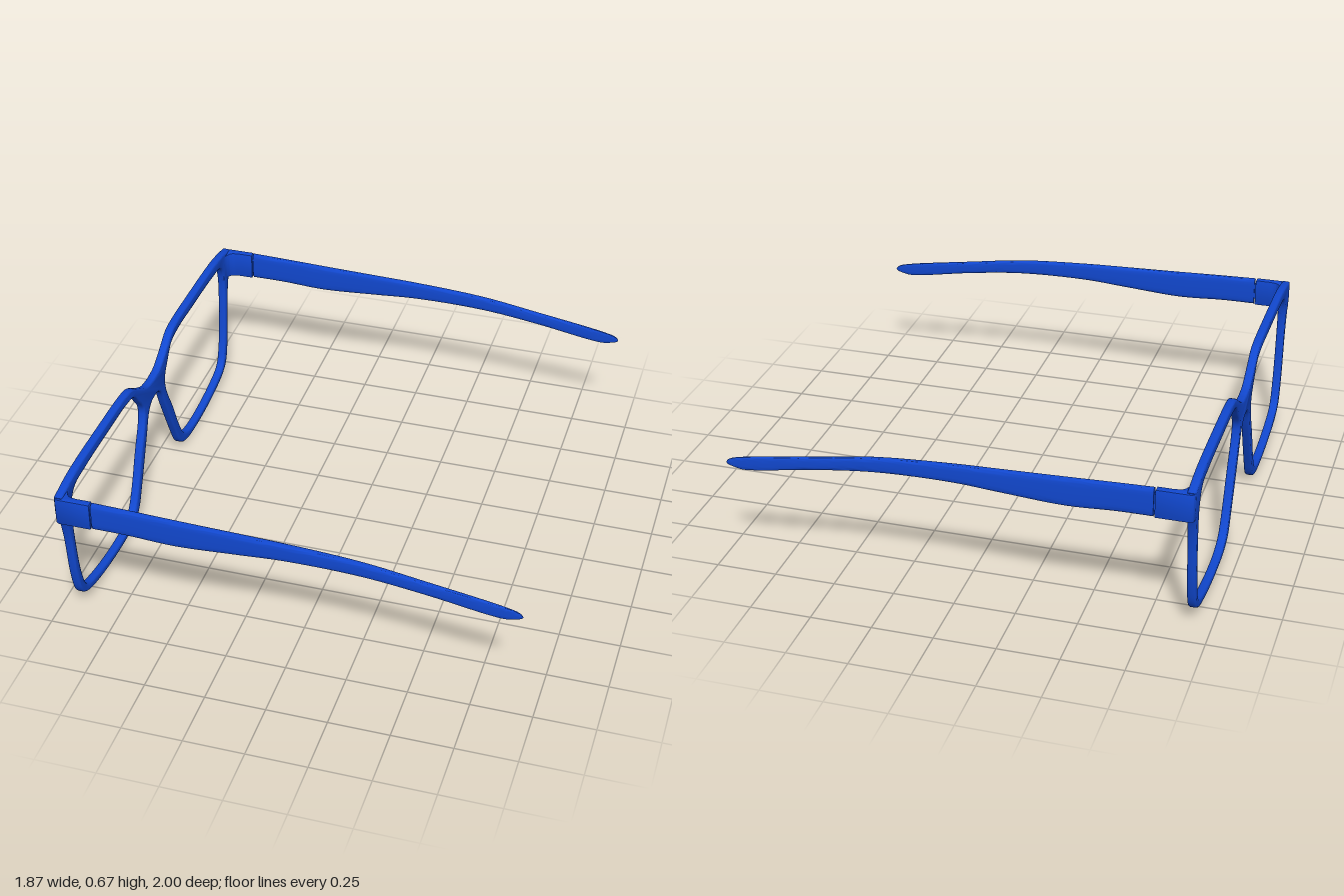
import * as THREE from 'three';
import { toCreasedNormals } from 'three/addons/utils/BufferGeometryUtils.js';

const material = new THREE.MeshStandardMaterial({ color: 0x1148d0, roughness: 0.5 });

const vectors = (pts) => pts.map(([x, y]) => new THREE.Vector2(x, y));
const smooth = (pts, n, closed = false) =>
  new THREE.CatmullRomCurve3(pts.map(([x, y]) => new THREE.Vector3(x, y, 0)), closed, 'centripetal')
    .getPoints(n).map((p) => [p.x, p.y]);
const mirror = (pts) => pts.map(([x, y]) => [-x, y]).reverse();

function addMesh(parent, geometry, name) {
  const mesh = new THREE.Mesh(geometry, material);
  mesh.name = name;
  parent.add(mesh);
  return mesh;
}

// Front frame: half outlines as [side, height], mirrored across the nose
function frameGeometry() {
  const brow = smooth([[0, 0.56], [0.075, 0.57], [0.155, 0.612], [0.235, 0.66], [0.315, 0.672],
    [0.5, 0.675], [0.8, 0.672], [0.9, 0.662], [0.99, 0.645]], 48);
  const lower = smooth([[0.99, 0.56], [0.965, 0.51], [0.942, 0.417], [0.917, 0.2], [0.885, 0.095], [0.835, 0.055],
    [0.73, 0.027], [0.51, 0.005], [0.33, 0.015], [0.26, 0.05], [0.21, 0.14], [0.115, 0.35],
    [0.075, 0.44], [0.04, 0.469], [0, 0.475]], 80);
  const half = [...brow, ...lower];
  const lens = smooth([[0.902, 0.55], [0.865, 0.61], [0.75, 0.626], [0.51, 0.63], [0.3, 0.628], [0.22, 0.61],
    [0.165, 0.55], [0.126, 0.49], [0.13, 0.43], [0.19, 0.3], [0.26, 0.14], [0.31, 0.068], [0.38, 0.042],
    [0.51, 0.035], [0.73, 0.06], [0.835, 0.095], [0.872, 0.175], [0.9, 0.36]], 110, true).slice(0, -1);

  const shape = new THREE.Shape(vectors([...half, ...mirror(half).slice(1, -1)]));
  shape.holes.push(new THREE.Path(vectors(lens)), new THREE.Path(vectors(mirror(lens))));
  const geometry = new THREE.ExtrudeGeometry(shape, {
    depth: 0.019, bevelThickness: 0.008, bevelSize: 0.008, bevelOffset: -0.008, bevelSegments: 3,
  });
  geometry.rotateY(-Math.PI / 2).translate(-0.91, 0, 0);
  return toCreasedNormals(geometry, 0.7);
}

// Corner piece: plan outline as [x, distance from centre], with a filleted inner corner
function endPieceGeometry(side) {
  const outline = [
    ...smooth([[-0.936, 0.93], [-0.936, 0.975], [-0.932, 0.992], [-0.92, 0.998]], 10),
    [-0.787, 0.998], [-0.787, 0.967],
    ...smooth([[-0.85, 0.967], [-0.882, 0.96], [-0.897, 0.94], [-0.904, 0.905]], 14),
    [-0.92, 0.905],
  ];
  const shape = new THREE.Shape(vectors(outline.map(([x, w]) => [x, -side * w])));
  const geometry = new THREE.ExtrudeGeometry(shape, {
    depth: 0.108, bevelThickness: 0.006, bevelSize: 0.005, bevelOffset: -0.005, bevelSegments: 2,
  });
  geometry.rotateX(-Math.PI / 2).translate(0, 0.528, 0);
  return toCreasedNormals(geometry, 0.7);
}

// Temple arm: rounded sections lofted along x. Stations are [x, top, bottom, half thickness]
function templeGeometry(side) {
  const stations = [
    [-0.781, 0.643, 0.524, 0.0145], [-0.64, 0.639, 0.523, 0.0145], [-0.44, 0.632, 0.514, 0.0145],
    [-0.19, 0.624, 0.529, 0.0145], [0.01, 0.617, 0.542, 0.0145], [0.31, 0.597, 0.536, 0.0135],
    [0.56, 0.56, 0.506, 0.012], [0.81, 0.522, 0.463, 0.008], [0.87, 0.511, 0.458, 0.006],
    [0.91, 0.501, 0.466, 0.0045], [0.928, 0.491, 0.472, 0.003], [0.935, 0.48, 0.478, 0.001],
  ];
  const edges = new THREE.CatmullRomCurve3(stations.map(([x, t, b]) => new THREE.Vector3(x, t, b)));
  const width = new THREE.CatmullRomCurve3(stations.map(([x, , , h]) => new THREE.Vector3(x, h, 0)));
  const rows = 66, ring = 32;
  const soften = (v) => Math.sign(v) * Math.sqrt(Math.abs(v));
  const positions = [], index = [];
  const tri = (a, b, c) => index.push(...(side > 0 ? [a, b, c] : [a, c, b]));
  for (let i = 0; i <= rows; i++) {
    const { x, y: top, z: bottom } = edges.getPoint(i / rows);
    const h = width.getPoint(i / rows).y;
    for (let j = 0; j < ring; j++) {
      const a = (j / ring) * Math.PI * 2;
      positions.push(x, (top + bottom) / 2 + (top - bottom) / 2 * soften(Math.sin(a)),
        side * (0.983 + h * soften(Math.cos(a))));
      if (i === rows) continue;
      const p = i * ring + j, q = i * ring + (j + 1) % ring;
      tri(p, p + ring, q + ring);
      tri(p, q + ring, q);
    }
  }
  // flat caps at the hinge and the tip
  for (let j = 1; j < ring - 1; j++) {
    tri(0, j, j + 1);
    tri(rows * ring, rows * ring + j + 1, rows * ring + j);
  }
  const geometry = new THREE.BufferGeometry();
  geometry.setAttribute('position', new THREE.Float32BufferAttribute(positions, 3));
  geometry.setIndex(index);
  return toCreasedNormals(geometry, 0.8);
}

export function createModel() {
  const glasses = new THREE.Group();
  glasses.name = 'eyeglasses';
  addMesh(glasses, frameGeometry(), 'frontFrame');

  for (const side of [1, -1]) {
    const arm = new THREE.Group();
    arm.name = side > 0 ? 'armPositiveZ' : 'armNegativeZ';
    addMesh(arm, endPieceGeometry(side), 'endPiece');
    addMesh(arm, templeGeometry(side), 'temple');
    // hinge tongue bridging the narrow slit
    addMesh(arm, new THREE.BoxGeometry(0.05, 0.07, 0.016), 'hinge').position.set(-0.784, 0.584, side * 0.983);
    glasses.add(arm);
  }
  return glasses;
}
